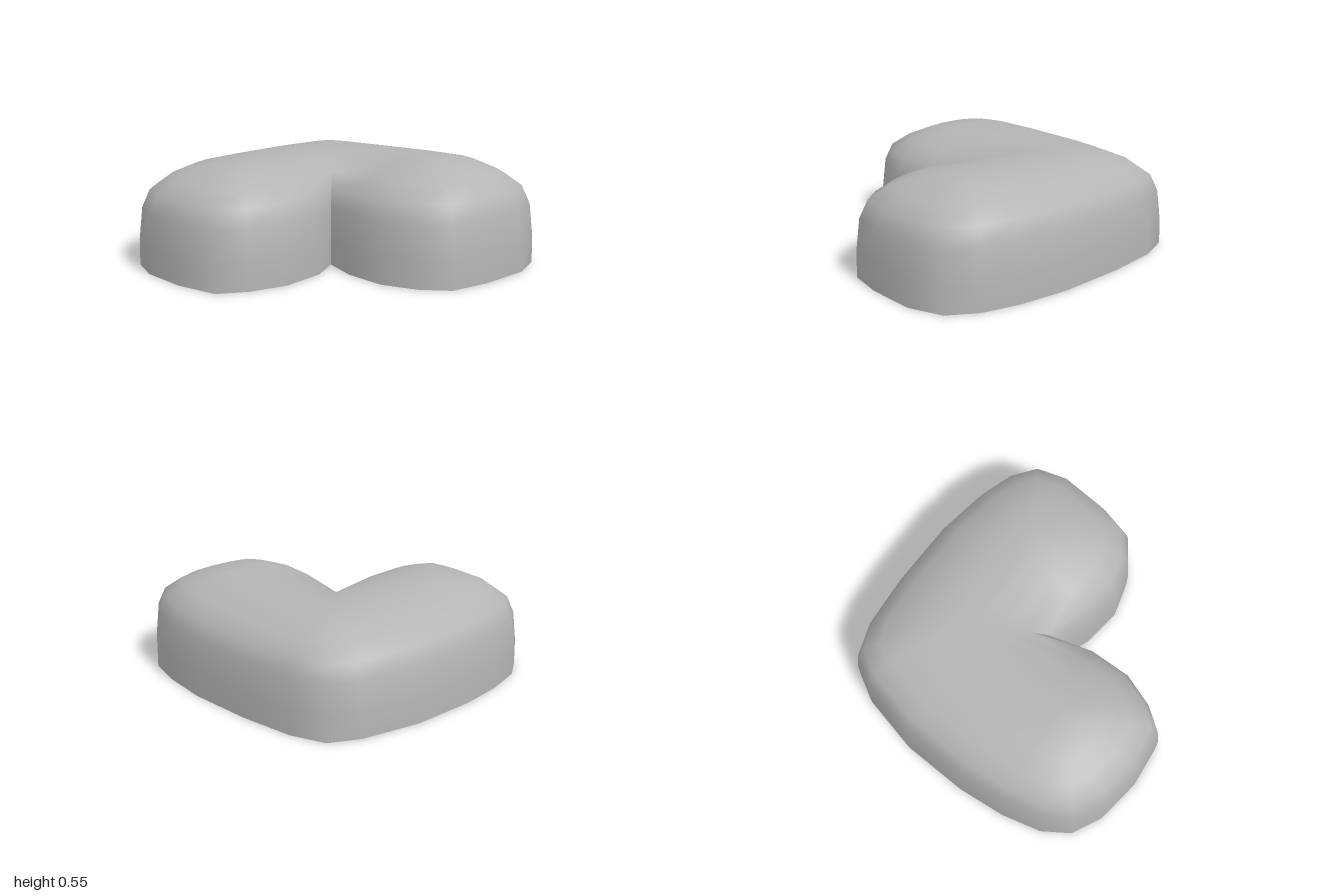
import * as THREE from 'three';

// Footprint [x, z], clockwise from above, starting at the cleft
const outline = [
  [-0.03, 0.31], [-0.10, 0.48], [-0.26, 0.65], [-0.44, 0.735], [-0.60, 0.76], [-0.78, 0.62],
  [-0.94, 0.42], [-1, 0.25], [-0.97, 0.09], [-0.86, -0.10], [-0.70, -0.30], [-0.44, -0.55],
  [-0.16, -0.73], [0.01, -0.78], [0.19, -0.70], [0.43, -0.51], [0.70, -0.25], [0.87, -0.03],
  [0.97, 0.15], [1, 0.32], [0.91, 0.49], [0.70, 0.67], [0.52, 0.775], [0.36, 0.75],
  [0.19, 0.66], [0.05, 0.49],
];
const TIP = 13;

// Section from rim to ridge: [fraction of the way in, fraction of ridge height]
const section = [
  [0, 0], [0.003, 0.25], [0.04, 0.56], [0.12, 0.73], [0.3, 0.85], [0.54, 0.945], [0.78, 0.987], [1, 1],
];

// V-shaped ridge running along the middle of both lobes
const ridgeCentre = new THREE.Vector3(0.01, 0.52, -0.28);
const ridgeRight = new THREE.Vector3(-0.5, 0.535, 0.22);
const ridgeLeft = new THREE.Vector3(0.48, 0.55, 0.22);

function ridgePoint(i, x, z) {
  if (i === 0 || i === TIP) return ridgeCentre.clone();
  const end = i < TIP ? ridgeRight : ridgeLeft;
  const dx = end.x - ridgeCentre.x, dz = end.z - ridgeCentre.z;
  const t = ((x - ridgeCentre.x) * dx + (z - ridgeCentre.z) * dz) / (dx * dx + dz * dz);
  return ridgeCentre.clone().lerp(end, THREE.MathUtils.clamp(t, 0, 1));
}

function domeGeometry() {
  const positions = [], index = [];
  const n = outline.length, rows = section.length;
  // The cleft column is doubled so that its wall stays sharp
  for (let c = 0; c <= n; c++) {
    const i = c % n, [x, z] = outline[i];
    const r = ridgePoint(i, x, z);
    for (const [s, h] of section) {
      positions.push(x + (r.x - x) * s, r.y * h, z + (r.z - z) * s);
    }
  }
  for (let c = 0; c < n; c++) {
    for (let k = 0; k < rows - 1; k++) {
      const a = c * rows + k, b = a + rows;
      index.push(a, a + 1, b, b, a + 1, b + 1);
    }
  }
  const geometry = new THREE.BufferGeometry();
  geometry.setAttribute('position', new THREE.Float32BufferAttribute(positions, 3));
  geometry.setIndex(index);
  geometry.computeVertexNormals();

  // Blend the cleft into the top, and level the ridge
  const normal = geometry.attributes.normal;
  const p = new THREE.Vector3(), q = new THREE.Vector3();
  for (let k = 4; k < rows; k++) {
    p.fromBufferAttribute(normal, k);
    q.fromBufferAttribute(normal, n * rows + k);
    p.add(q).normalize();
    normal.setXYZ(k, p.x, p.y, p.z);
    normal.setXYZ(n * rows + k, p.x, p.y, p.z);
  }
  for (let c = 0; c <= n; c++) normal.setXYZ(c * rows + rows - 1, 0, 1, 0);
  return geometry;
}

export function createModel() {
  const grey = new THREE.MeshStandardMaterial({ color: 0xb4b4b4 });
  grey.name = 'grey';
  const group = new THREE.Group();
  group.name = 'heart';

  // Rounded upper body
  const dome = new THREE.Mesh(domeGeometry(), grey);
  dome.name = 'heartBody';
  group.add(dome);

  // Flat underside
  const shape = new THREE.Shape(outline.map(([x, z]) => new THREE.Vector2(x, z)));
  const base = new THREE.Mesh(new THREE.ShapeGeometry(shape).rotateX(Math.PI / 2), grey);
  base.name = 'heartBase';
  group.add(base);
  return group;
}
